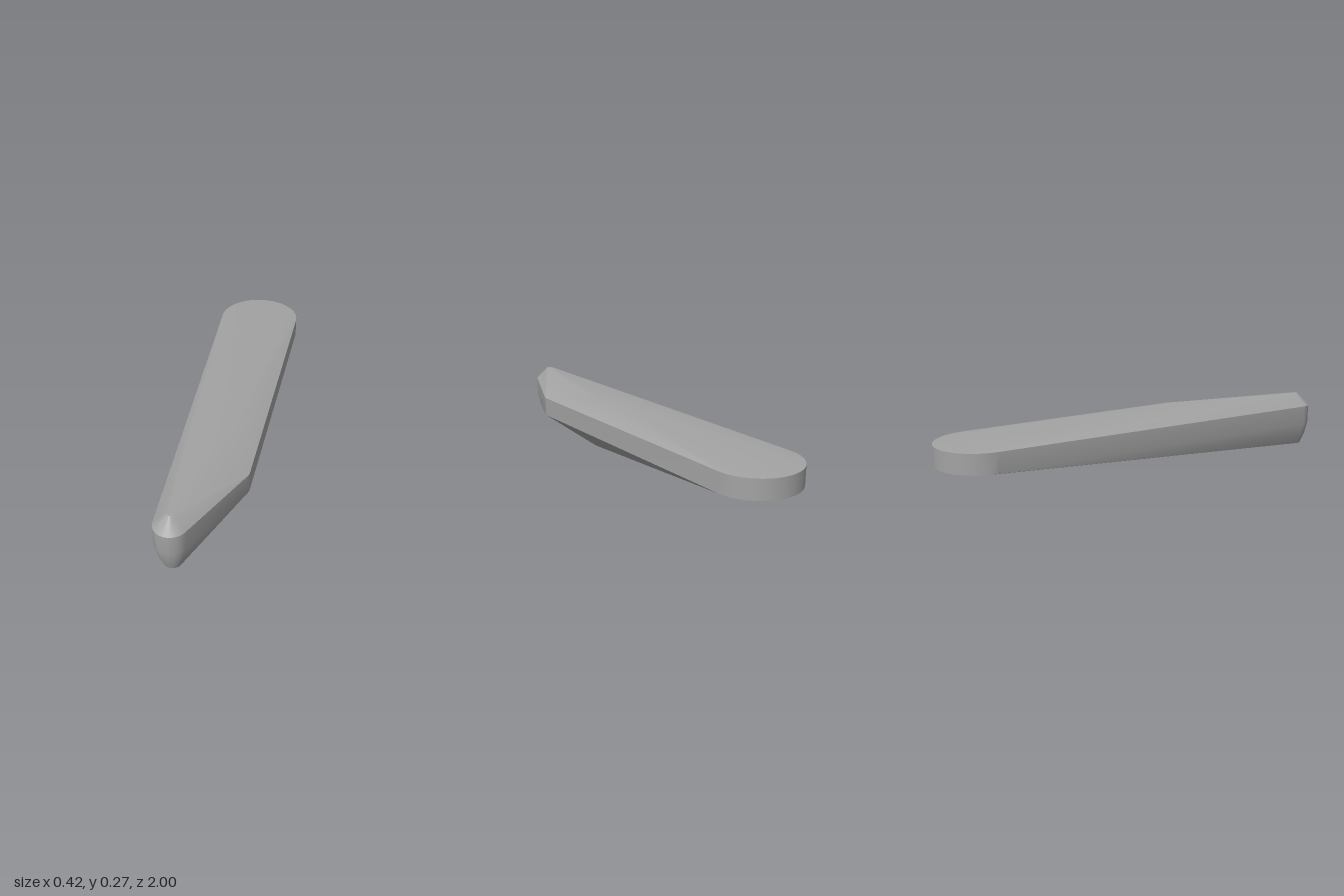
import * as THREE from 'three';
import { ConvexGeometry } from 'three/addons/geometries/ConvexGeometry.js';
import { toCreasedNormals } from 'three/addons/utils/BufferGeometryUtils.js';

const LOWER = 0.112, UPPER = 0.207; // bottom and top of the upright side wall

// points on a horizontal circular arc
function arc(x, y, z, radius, from, to, steps) {
  return Array.from({ length: steps + 1 }, (_, i) => {
    const a = from + ((to - from) * i) / steps;
    return new THREE.Vector3(x + Math.cos(a) * radius, y, z + Math.sin(a) * radius);
  });
}

export function createModel() {
  const group = new THREE.Group();
  group.name = 'taperedBody';
  const grey = new THREE.MeshStandardMaterial({ color: 0xa3a3a3 });
  grey.name = 'grey';

  const points = [];
  // outline of the side wall: round tail, round nose and bent flank
  for (const y of [LOWER, UPPER]) {
    points.push(...arc(0, y, -0.79, 0.21, Math.PI, Math.PI * 2, 24));
    points.push(...arc(-0.117, y, 0.925, 0.075, 0.4, Math.PI, 14));
    points.push(...arc(0.107, y, 0.565, 0.04, 0, 0.5, 4));
  }
  // nose narrows to a small cap above and a rounded keel below
  points.push(...arc(-0.116, 0.268, 0.925, 0.016, 0, Math.PI, 8));
  points.push(...arc(-0.117, 0.05, 0.925, 0.06, 0.3, Math.PI, 14));
  points.push(...arc(-0.117, 0, 0.925, 0.04, 0, Math.PI, 12));
  // shoulders behind the bend of the flank
  points.push(new THREE.Vector3(0.048, 0.261, 0.22));
  points.push(new THREE.Vector3(0.065, 0.011, 0.24));

  const body = new THREE.Mesh(toCreasedNormals(new ConvexGeometry(points), 0.52), grey);
  body.name = 'body';
  group.add(body);
  return group;
}
